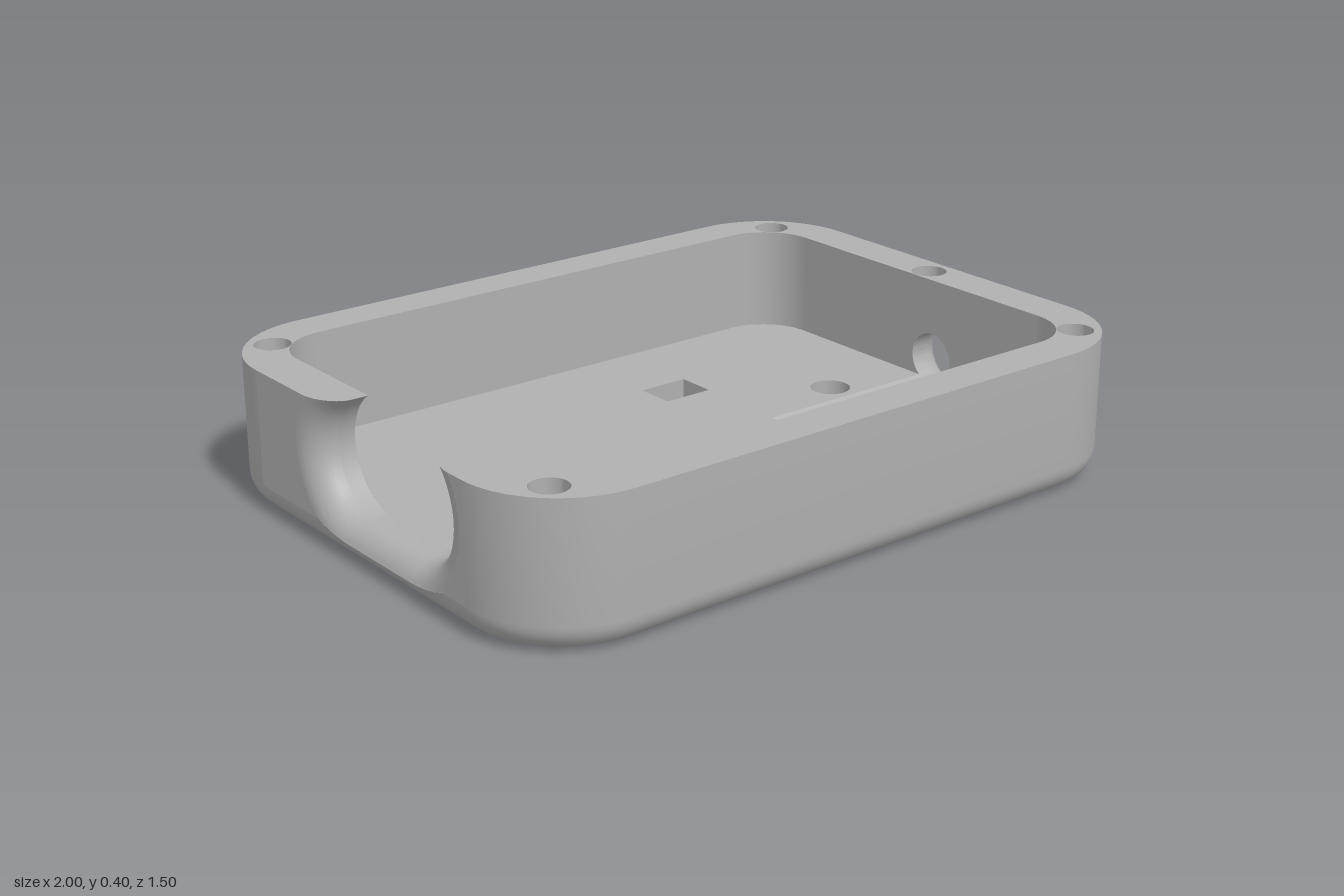
import * as THREE from 'three';
import { toCreasedNormals } from 'three/addons/utils/BufferGeometryUtils.js';

const H = 0.395;      // case height
const FLOOR = 0.1;    // inside floor level
const F = 0.077;      // rounding of the bottom edge and of the port mouths
const OUT = { cx: 0.72, cz: 0.47, R: 0.28 };    // outer corner centres and radius
const INN = { cx: 0.72, cz: 0.475, R: 0.155 };  // cavity corner centres and radius
const XI = INN.cx + INN.R;
const CORNER_STEPS = 14;

// s: side (+1 or -1 in x), zc/yc: centre, w: half length of the straight part, r: end radius
const ROUND_PORT = { s: 1, zc: 0.075, yc: 0.16, w: 0, r: 0.075 };
const WIDE_PORT = { s: -1, zc: 0.085, yc: 0.26, w: 0.13, r: 0.16 };

const lerp = THREE.MathUtils.lerp;
const clampAsin = (v) => Math.asin(THREE.MathUtils.clamp(v, -1, 1));
const mouthX = (q) => 1 - F + Math.sqrt(Math.max(0, F * F - (F - q) ** 2));

// Surface from a rule fn(u, v) -> [x, y, z]
function grid(nu, nv, fn, flip = false) {
  const pos = [], idx = [];
  for (let i = 0; i <= nu; i++) for (let j = 0; j <= nv; j++) pos.push(...fn(i / nu, j / nv));
  for (let i = 0; i < nu; i++) {
    for (let j = 0; j < nv; j++) {
      const a = i * (nv + 1) + j, b = a + nv + 1;
      if (flip) idx.push(a, b + 1, b, a, a + 1, b + 1);
      else idx.push(a, b, b + 1, a, b + 1, a + 1);
    }
  }
  const g = new THREE.BufferGeometry();
  g.setAttribute('position', new THREE.Float32BufferAttribute(pos, 3));
  g.setIndex(idx);
  return toCreasedNormals(g, 0.6);
}

// Flat face from an outline with holes, placed by a map (a, b) -> [x, y, z]
function face(outline, holes, map, flip) {
  const shape = new THREE.Shape(outline.map(([a, b]) => new THREE.Vector2(a, b)));
  shape.holes = holes.map((h) => new THREE.Path(h.map(([a, b]) => new THREE.Vector2(a, b))));
  const g = new THREE.ShapeGeometry(shape);
  const p = g.attributes.position;
  for (let i = 0; i < p.count; i++) p.setXYZ(i, ...map(p.getX(i), p.getY(i)));
  if (flip) g.index.array.reverse();
  g.computeVertexNormals();
  return g;
}

function circle(x, z, r, n = 32) {
  return Array.from({ length: n }, (_, i) => {
    const a = (i / n) * Math.PI * 2;
    return [x + r * Math.cos(a), z + r * Math.sin(a)];
  });
}

// Rounded corner arcs of a rectangle, from quarter "first", "count" quarters on
function corners({ cx, cz, R }, first, count) {
  const pts = [];
  for (let k = first; k < first + count; k++) {
    const sx = k % 4 === 0 || k % 4 === 3 ? 1 : -1, sz = k % 4 < 2 ? 1 : -1;
    for (let i = 0; i <= CORNER_STEPS; i++) {
      const a = (k + i / CORNER_STEPS) * Math.PI / 2;
      pts.push([sx * cx + R * Math.cos(a), sz * cz + R * Math.sin(a)]);
    }
  }
  return pts;
}

// Front (sz = 1) or back (sz = -1) wall with its two corners; profile = [inset, y] points
function wall(o, profile, sz, outer) {
  const n = CORNER_STEPS * 2 + 1;
  return grid(n, profile.length - 1, (u, v) => {
    const k = Math.round(u * n), [inset, y] = profile[Math.round(v * (profile.length - 1))];
    const [x, z] = corners({ ...o, R: o.R - inset }, 0, 2)[k];
    return [x, y, z * sz];
  }, outer === (sz > 0));
}

// Point on the port outline, widened by q; t runs once round from the top
function portPoint(p, t, q, full) {
  const top = clampAsin((H - p.yc) / (p.r + full));
  const a = lerp(Math.PI - top, 2 * Math.PI + top, t);
  const reach = Math.min(F, (p.yc + p.r * Math.sin(a)) / Math.max(1e-6, 1 - Math.sin(a)));
  const k = full > 0 ? q * reach / F : 0;
  const side = Math.cos(a) < 0 ? -1 : 1;
  return { q: k, z: p.zc + side * p.w + (p.r + k) * Math.cos(a), y: p.yc + (p.r + k) * Math.sin(a) };
}

// Rounded mouth of a port, running into the rounded bottom edge
function portMouth(p) {
  return grid(61, 10, (t, v) => {
    const q = F * (1 - Math.cos(v * Math.PI / 2));
    const c = portPoint(p, t, q, q);
    return [p.s * mouthX(c.q), c.y, c.z];
  }, p.s < 0);
}

// Straight part of a port through the wall
function portTunnel(p) {
  return grid(61, 1, (t, v) => {
    const c = portPoint(p, t, 0, 0);
    return [p.s * lerp(XI, 1 - F, v), c.y, c.z];
  }, p.s < 0);
}

// Half of a flat end wall beside the port
function endPanel(p, x, q, cz, y0, side, flip) {
  const R = p.r + q, a0 = clampAsin((y0 - p.yc) / R), a1 = clampAsin((H - p.yc) / R), pts = [];
  for (let i = 0; i <= 30; i++) {
    const a = lerp(a0, a1, i / 30);
    pts.push([p.zc + side * (p.w + R * Math.cos(a)), p.yc + R * Math.sin(a)]);
  }
  if (pts[30][1] < H - 1e-4) pts.push([p.zc, H]);
  pts.push([side * cz, H], [side * cz, y0]);
  return face(pts, [], (z, y) => [p.s * x, y, z], flip);
}

// Rounded bottom edge of an end wall, cut away below the port mouth
function endEdge(p) {
  return grid(120, 8, (u, v) => {
    const z = lerp(-OUT.cz, OUT.cz, u);
    const t = Math.max(0, Math.abs(z - p.zc) - p.w);
    const cut = Math.min(F, (t * t + p.yc ** 2 - p.r ** 2) / (2 * (p.yc + p.r)));
    const a = v * Math.acos(1 - cut / F);
    return [p.s * (1 - F + F * Math.sin(a)), F * (1 - Math.cos(a)), z];
  }, p.s > 0);
}

export function createModel() {
  const group = new THREE.Group();
  group.name = 'enclosureTray';
  const grey = new THREE.MeshStandardMaterial({ color: 0xb0b0b0, side: THREE.DoubleSide });
  grey.name = 'grey';
  const add = (name, geometry, x = 0, z = 0) => {
    const m = new THREE.Mesh(geometry, grey);
    m.name = name;
    m.position.set(x, 0, z);
    group.add(m);
  };

  // Front and back walls with rounded corners
  const outerProfile = Array.from({ length: 9 }, (_, i) => {
    const a = (i / 8) * Math.PI / 2;
    return [F * (1 - Math.sin(a)), F * (1 - Math.cos(a))];
  }).concat([[0, H]]);
  for (const sz of [1, -1]) {
    const side = sz > 0 ? 'front' : 'back';
    add(side + 'OuterWall', wall(OUT, outerProfile, sz, true));
    add(side + 'InnerWall', wall(INN, [[0, FLOOR], [0, H]], sz, false));
  }

  // End walls with their ports
  for (const [name, p] of [['roundPort', ROUND_PORT], ['widePort', WIDE_PORT]]) {
    for (const side of [1, -1]) {
      add(name + 'OuterPanel', endPanel(p, 1, F, OUT.cz, F, side, p.s > 0));
      add(name + 'InnerPanel', endPanel(p, XI, 0, INN.cz, FLOOR, side, p.s < 0));
    }
    add(name + 'BottomEdge', endEdge(p));
    add(name + 'Mouth', portMouth(p));
    add(name + 'Tunnel', portTunnel(p));
  }

  // Rim, open at the wide port, with blind screw holes
  const screws = [[0.866, 0.62], [-0.866, 0.62], [-0.866, -0.62], [0.866, -0.62], [0.93, 0]];
  const flare = (side) => Array.from({ length: 11 }, (_, i) => {
    const q = F * (1 - Math.cos((i / 10) * Math.PI / 2));
    const half = WIDE_PORT.w + Math.sqrt((WIDE_PORT.r + q) ** 2 - (H - WIDE_PORT.yc) ** 2);
    return [-mouthX(q), WIDE_PORT.zc + side * half];
  });
  const [low, high] = [flare(-1), flare(1)];
  const rim = [
    ...corners(OUT, 2, 2), ...corners(OUT, 0, 2), ...high.reverse(), [-XI, high[10][1]],
    ...corners(INN, 0, 2).reverse(), ...corners(INN, 2, 2).reverse(), [-XI, low[0][1]], ...low,
  ];
  add('rim', face(rim, screws.map(([x, z]) => circle(x, z, 0.05)), (x, z) => [x, H, z], true));
  const v2 = (x, y) => new THREE.Vector2(x, y);
  for (const [x, z] of screws) {
    const cup = new THREE.LatheGeometry([v2(0.05, H), v2(0.05, H - 0.12), v2(0, H - 0.12)], 32);
    add('screwHole', toCreasedNormals(cup, 0.6), x, z);
  }

  // Floor and underside with their through holes
  const rounds = [[0.6, -0.05], [0.6, 0.2]], HOLE_R = 0.057;
  const slot = [[0.165, -0.365], [0.315, -0.365], [0.315, -0.25], [0.165, -0.25]];
  const holes = [...rounds.map(([x, z]) => circle(x, z, HOLE_R)), slot];
  const { zc, yc, r } = ROUND_PORT, TX = 0.31;
  const half = Math.sqrt(r * r - (yc - FLOOR) ** 2);
  const floor = [...corners(INN, 0, 4), [XI, zc - half], [TX, zc - half], [TX, zc + half], [XI, zc + half]];
  add('floor', face(floor, holes, (x, z) => [x, FLOOR, z], true));
  add('underside', face(corners({ ...OUT, R: OUT.R - F }, 0, 4), holes, (x, z) => [x, 0, z], false));
  for (const [x, z] of rounds) {
    add('roundFloorHole', new THREE.LatheGeometry([v2(HOLE_R, FLOOR), v2(HOLE_R, 0)], 32), x, z);
  }
  add('squareFloorHole', grid(4, 1, (u, v) => {
    const [x, z] = slot[Math.round(u * 4) % 4];
    return [x, v * FLOOR, z];
  }));

  // Shallow cable groove in the floor, in line with the round port
  const spread = Math.asin(half / r);
  const groove = (u) => {
    const a = lerp(-spread, spread, u);
    return [zc + r * Math.sin(a), yc - r * Math.cos(a)];
  };
  add('cableGroove', grid(16, 1, (u, v) => {
    const [z, y] = groove(u);
    return [lerp(TX, XI, v), y, z];
  }));
  const endOutline = Array.from({ length: 17 }, (_, i) => groove(i / 16));
  add('cableGrooveEnd', face(endOutline, [], (z, y) => [TX, y, z], true));
  return group;
}
